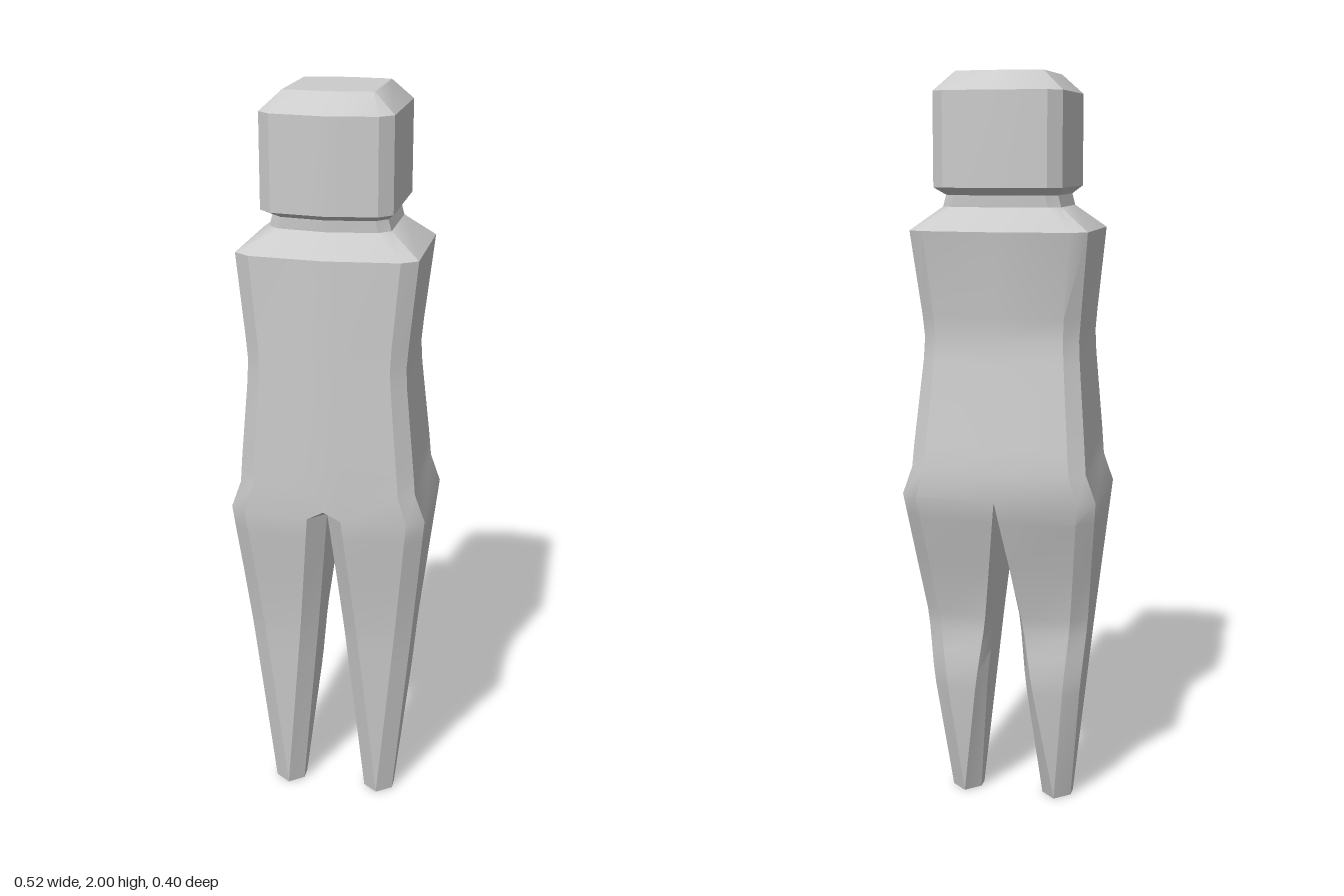
import * as THREE from 'three';
import { mergeGeometries, toCreasedNormals } from 'three/addons/utils/BufferGeometryUtils.js';

const material = new THREE.MeshStandardMaterial({ color: 0xcccccc });
const NOTCH = 0.045; // half width of the chamfered notch at the front of the crotch

function soup(triangles) {
  const geometry = new THREE.BufferGeometry();
  geometry.setAttribute('position', new THREE.Float32BufferAttribute(triangles.flat(2), 3));
  return geometry;
}

// Skin a stack of rings, listed bottom up, each counter-clockwise from above.
function loft(rings, capBottom, capTop) {
  const tris = [];
  const n = rings[0].length;
  for (let i = 0; i < rings.length - 1; i++) {
    for (let j = 0; j < n; j++) {
      const k = (j + 1) % n;
      const [a, b, c, d] = [rings[i][j], rings[i][k], rings[i + 1][k], rings[i + 1][j]];
      tris.push([a, b, c], [a, c, d]);
    }
  }
  const last = rings[rings.length - 1];
  for (let j = 1; j < n - 1; j++) {
    if (capBottom) tris.push([rings[0][0], rings[0][j + 1], rings[0][j]]);
    if (capTop) tris.push([last[0], last[j], last[j + 1]]);
  }
  return soup(tris);
}

// Chamfered box section whose front and back bulge slightly at the middle.
// xo/xi: side and chamfer half widths; cf/cb: chamfer z; sf/sb: side z.
function section([y, xo, xi, cf, sf, sb, cb], midY = y, bulge = 0.018) {
  const half = [
    [NOTCH, y, cf + bulge * (1 - NOTCH / xi)],
    [xi, y, cf], [xo, y, sf], [xo, y, sb], [xi, y, cb],
  ];
  const mirrored = half.map(([x, py, z]) => [-x, py, z]).reverse();
  return [[0, midY, cf + bulge], ...half, [0, y, cb - bulge], ...mirrored];
}

// Eight-sided leg section; the widths run straight from hip to foot.
function legSection([y, cf, sf, sb, cb], side) {
  const t = y / 0.9;
  const at = (foot, hip) => foot + (hip - foot) * t;
  const ring = [
    [at(0.13, NOTCH), y, cf + 0.014 * t],
    [at(0.13, 0.218), y, cf],
    [at(0.172, 0.262), y, sf],
    [at(0.172, 0.262), y, sb],
    [at(0.13, 0.218), y, cb],
    [at(0.13, 0), y, cb - 0.018 * t],
    [at(0.09, 0), y, sb],
    [at(0.09, 0), y, sf],
  ].map(([x, py, z]) => [x * side, py, z]);
  return side > 0 ? ring : ring.reverse();
}

export function createModel() {
  const group = new THREE.Group();
  const add = (name, geometry) => {
    const mesh = new THREE.Mesh(toCreasedNormals(geometry, THREE.MathUtils.degToRad(30)), material);
    mesh.name = name;
    group.add(mesh);
  };

  // Torso from hips to neck: y, xo, xi, front chamfer, front side, back side, back chamfer
  const torsoRows = [
    [0.9, 0.262, 0.218, 0.178, 0.145, -0.148, -0.18],
    [0.975, 0.235, 0.195, 0.179, 0.147, -0.149, -0.181],
    [1.04, 0.23, 0.19, 0.18, 0.148, -0.142, -0.174],
    [1.26, 0.21, 0.173, 0.18, 0.148, -0.111, -0.143],
    [1.32, 0.207, 0.17, 0.18, 0.148, -0.107, -0.138],
    [1.38, 0.212, 0.173, 0.18, 0.148, -0.112, -0.143],
    [1.6, 0.234, 0.193, 0.18, 0.15, -0.148, -0.177],
    [1.66, 0.156, 0.126, 0.126, 0.1, -0.1, -0.126],
  ];
  const parts = [loft(torsoRows.map((row, i) => section(row, i === 0 ? 0.925 : row[0])))];

  // Legs: y, front chamfer, front side, back side, back chamfer
  const legRows = [
    [0, 0.088, 0.056, 0.02, -0.018],
    [0.33, 0.11, 0.078, -0.043, -0.074],
    [0.38, 0.114, 0.082, -0.046, -0.078],
    [0.44, 0.118, 0.086, -0.042, -0.075],
    [0.5, 0.123, 0.09, -0.038, -0.07],
    [0.55, 0.127, 0.095, -0.042, -0.076],
    [0.7, 0.148, 0.115, -0.088, -0.12],
    [0.84, 0.17, 0.137, -0.13, -0.163],
    [0.9, 0.178, 0.145, -0.148, -0.18],
  ];
  for (const side of [1, -1]) parts.push(loft(legRows.map((row) => legSection(row, side)), true));

  // Small chamfer closing the top of the gap between the legs
  const apex = [0, 0.925, 0.196];
  const inner = [0, 0.9, 0.145];
  const notchZ = 0.192;
  parts.push(soup([
    [apex, [-NOTCH, 0.9, notchZ], inner],
    [apex, inner, [NOTCH, 0.9, notchZ]],
  ]));
  add('body', mergeGeometries(parts));

  // Head with undercut neck and bevelled crown
  const headRows = [
    [1.66, 0.156, 0.126, 0.126, 0.1, -0.1, -0.126],
    [1.69, 0.148, 0.12, 0.128, 0.1, -0.1, -0.128],
    [1.71, 0.168, 0.135, 0.177, 0.145, -0.15, -0.182],
    [1.95, 0.168, 0.135, 0.177, 0.145, -0.15, -0.182],
    [2, 0.114, 0.112, 0.121, 0.119, -0.126, -0.128],
  ];
  add('head', loft(headRows.map((row) => section(row, row[0], row[0] === 2 ? 0.012 : 0.018)), false, true));

  return group;
}
